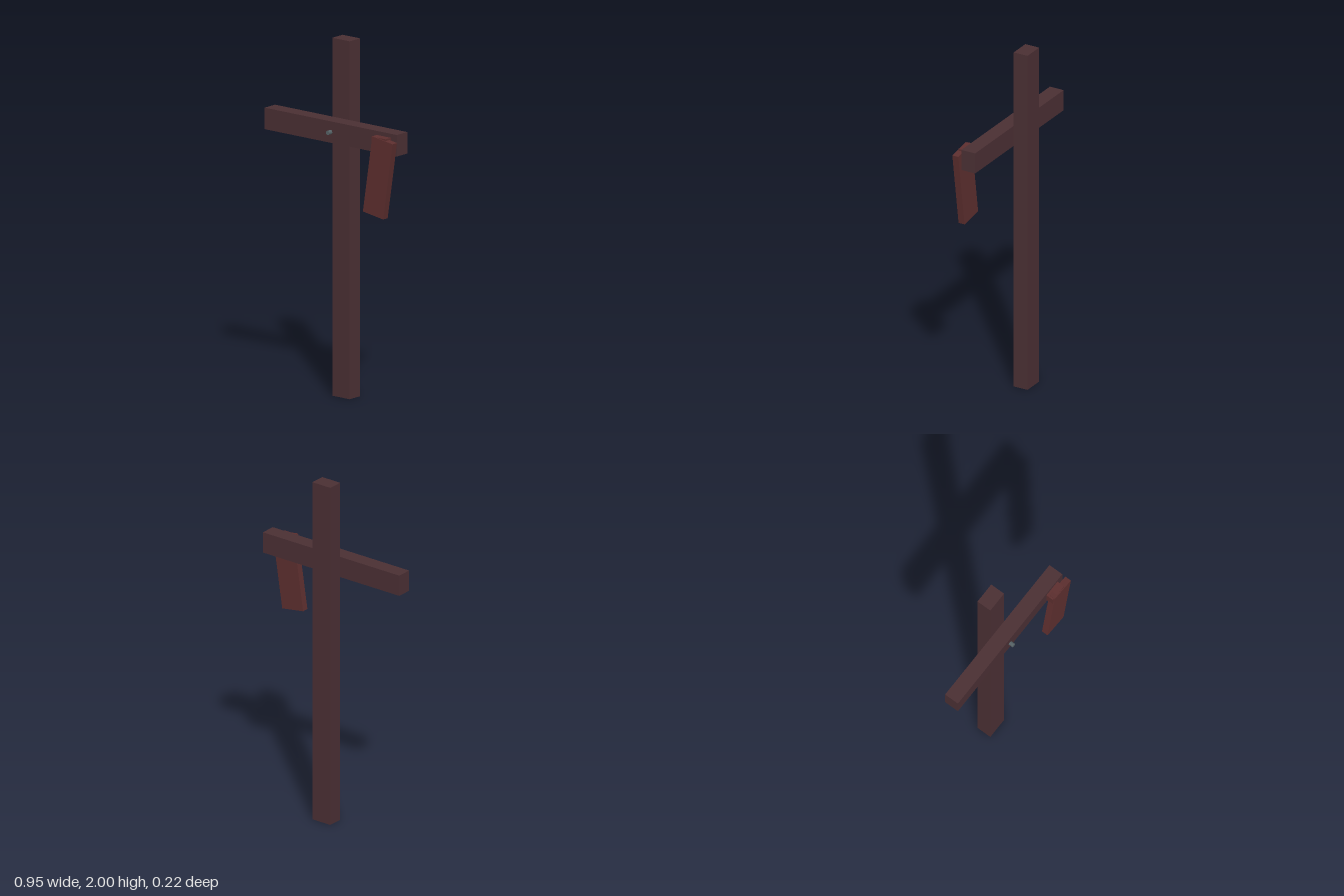
import * as THREE from 'three';

const darkWood = new THREE.MeshStandardMaterial({ color: 0x4a2f33 });
const redWood = new THREE.MeshStandardMaterial({ color: 0x5c2e2e });
const iron = new THREE.MeshStandardMaterial({ color: 0x566266 });

export function createModel() {
  const group = new THREE.Group();

  const add = (name, geometry, material, x, y, z) => {
    const mesh = new THREE.Mesh(geometry, material);
    mesh.name = name;
    mesh.position.set(x, y, z);
    group.add(mesh);
    return mesh;
  };

  // upright post with the crossbeam fixed to its front
  add('post', new THREE.BoxGeometry(0.123, 2, 0.087), darkWood, -0.008, 1, -0.07);
  add('crossbeam', new THREE.BoxGeometry(0.936, 0.12, 0.087), darkWood, -0.007, 1.5, 0.017);

  // nail through the middle of the crossbeam
  const nail = new THREE.CylinderGeometry(0.0125, 0.0125, 0.06, 8).rotateX(Math.PI / 2);
  add('nail', nail, iron, -0.008, 1.5, 0.057);

  // spacer block that holds the hanging board off the crossbeam
  add('hangerBlock', new THREE.BoxGeometry(0.1, 0.071, 0.047), redWood, 0.368, 1.502, 0.082);

  // board hanging askew
  const board = add('hangingBoard', new THREE.BoxGeometry(0.145, 0.436, 0.038), redWood, 0.367, 1.315, 0.092);
  board.rotation.z = -0.152;

  return group;
}
